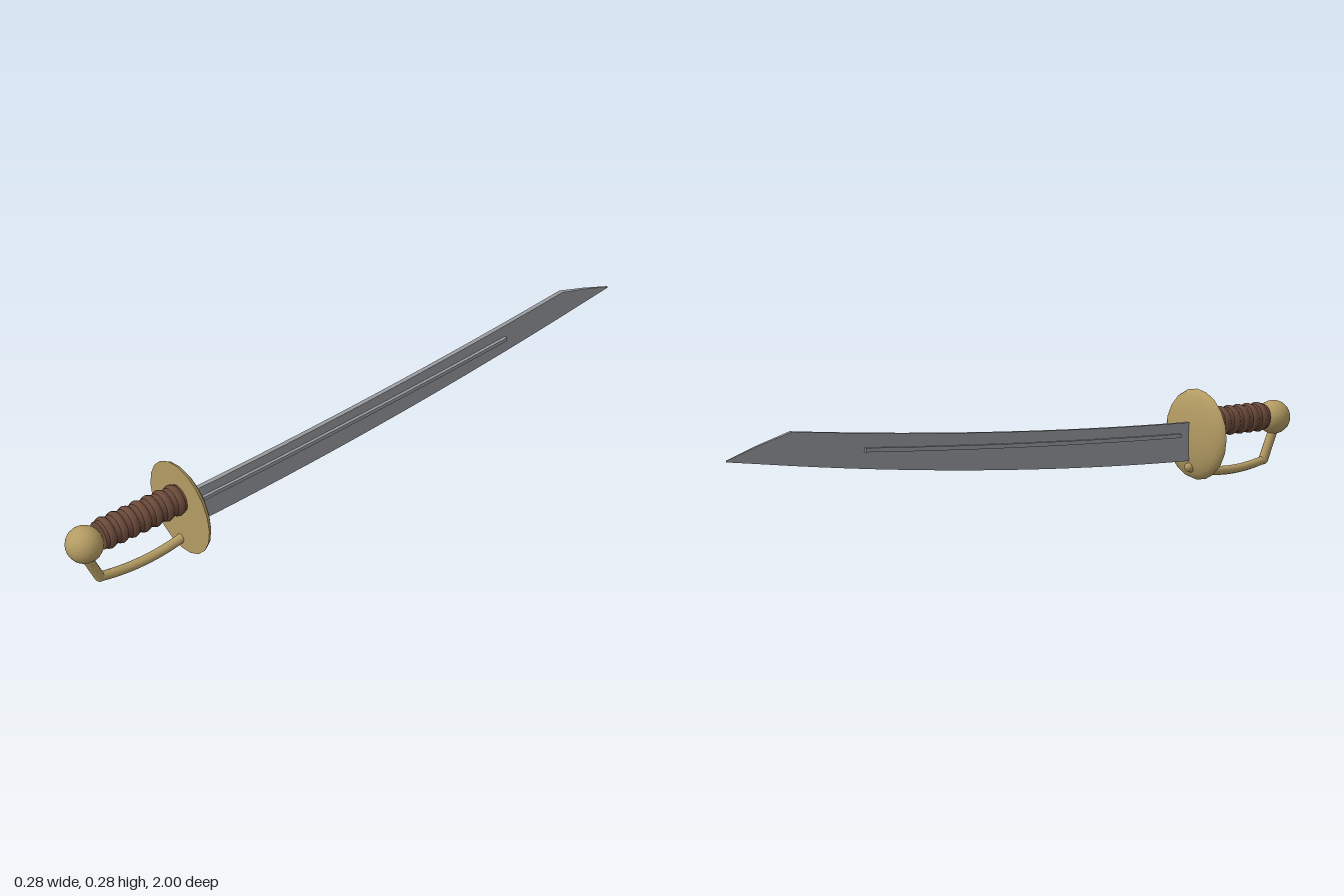
import * as THREE from 'three';
import { toCreasedNormals } from 'three/addons/utils/BufferGeometryUtils.js';

const brass = new THREE.MeshStandardMaterial({ color: 0xb39b63 });
const leather = new THREE.MeshStandardMaterial({ color: 0x6b4a3a });
const steel = new THREE.MeshStandardMaterial({ color: 0x96989c });

// Skin over four-cornered sections that run from +z to -z.
// Each section: { z, low, high, wLow, wHigh } with half widths at its lower and upper edge.
function loft(sections) {
  const pos = [], idx = [];
  for (const { z, low, high, wLow, wHigh } of sections) {
    pos.push(-wLow, low, z, wLow, low, z, wHigh, high, z, -wHigh, high, z);
  }
  for (let s = 0; s < sections.length - 1; s++) {
    for (let i = 0; i < 4; i++) {
      const a = s * 4 + i, b = s * 4 + (i + 1) % 4, c = a + 4, d = b + 4;
      idx.push(a, c, b, b, c, d);
    }
  }
  const e = (sections.length - 1) * 4;
  idx.push(0, 1, 2, 0, 2, 3, e, e + 2, e + 1, e, e + 3, e + 2);
  const g = new THREE.BufferGeometry();
  g.setAttribute('position', new THREE.Float32BufferAttribute(pos, 3));
  g.setIndex(idx);
  return toCreasedNormals(g, 0.5);
}

// Turned part along z; profile points are [radius, z] with z rising
function turned(profile, sides, y, crease) {
  const g = new THREE.LatheGeometry(profile.map(([r, z]) => new THREE.Vector2(r, z)), sides);
  g.rotateX(Math.PI / 2).translate(0, y, 0);
  return toCreasedNormals(g, crease);
}

export function createModel() {
  const model = new THREE.Group();
  const add = (name, geometry, material, parent = model) => {
    const mesh = new THREE.Mesh(geometry, material);
    mesh.name = name;
    parent.add(mesh);
    return mesh;
  };

  // Blade: thick spine, thin cutting edge, clipped point
  const edgeY = (z) => {
    const t = (0.6 - z) / 1.6;
    return 0.062 + 0.05 * t + 0.103 * t * t;
  };
  const spineY = (z) => {
    const t = (0.6 - z) / 1.4;
    return 0.182 + 0.035 * t + 0.062 * t * t;
  };
  const sections = [];
  for (let i = 0; i <= 16; i++) {
    const z = 0.62 - (1.42 * i) / 16;
    sections.push({ z, low: edgeY(z), high: spineY(z), wLow: 0.002, wHigh: 0.007 });
  }
  sections.push({ z: -0.9, low: edgeY(-0.9), high: 0.251, wLow: 0.002, wHigh: 0.0045 });
  sections.push({ z: -1, low: 0.214, high: 0.218, wLow: 0.002, wHigh: 0.002 });
  add('blade', loft(sections), steel);

  // Raised rib along both sides of the blade
  const rib = [];
  for (let i = 0; i <= 12; i++) {
    const t = i / 12, y = 0.145 + 0.036 * t + 0.027 * t * t;
    rib.push({ z: 0.56 - 1.13 * t, low: y - 0.006, high: y + 0.006, wLow: 0.015, wHigh: 0.015 });
  }
  add('bladeRib', loft(rib), steel);

  // Domed hand guard, flat towards the grip
  const dome = [];
  for (let i = 0; i <= 6; i++) {
    const a = (i / 6) * Math.PI / 2;
    dome.push([0.141 * Math.sin(a), 0.633 - 0.037 * Math.cos(a)]);
  }
  dome.push([0, 0.6335]);
  add('guard', turned(dome, 20, 0.142, 0.9), brass);

  // Grip core with wrapped rings
  const grip = new THREE.Group();
  grip.name = 'grip';
  model.add(grip);
  add('gripCore', turned([[0, 0.625], [0.041, 0.625], [0.041, 0.9], [0, 0.9]], 20, 0.175, 0.6), leather, grip);
  const rings = 7;
  for (let i = 0; i < rings; i++) {
    const ring = add('gripRing', new THREE.TorusGeometry(0.036, 0.011, 8, 20), leather, grip);
    ring.position.set(0, 0.175, 0.65 + (0.228 * i) / (rings - 1));
    ring.scale.z = 1.25;
  }

  // Pommel
  add('pommel', new THREE.SphereGeometry(0.053, 24, 16), brass).position.set(0, 0.169, 0.947);

  // Knuckle bow: straight drop from the pommel, then a shallow curve through the guard
  const bow = new THREE.Group();
  bow.name = 'knuckleBow';
  model.add(bow);
  const corner = new THREE.Vector3(0, 0.036, 0.907);
  const drop = new THREE.LineCurve3(new THREE.Vector3(0, 0.14, 0.952), corner);
  const sweep = new THREE.QuadraticBezierCurve3(
    corner, new THREE.Vector3(0, -0.002, 0.75), new THREE.Vector3(0, 0.042, 0.603));
  add('bowDrop', new THREE.TubeGeometry(drop, 1, 0.015, 8), brass, bow);
  add('bowSweep', new THREE.TubeGeometry(sweep, 12, 0.014, 8), brass, bow);
  add('bowCorner', new THREE.SphereGeometry(0.0148, 10, 8), brass, bow).position.copy(corner);
  add('bowEnd', new THREE.SphereGeometry(0.014, 10, 8), brass, bow).position.set(0, 0.042, 0.603);

  return model;
}
